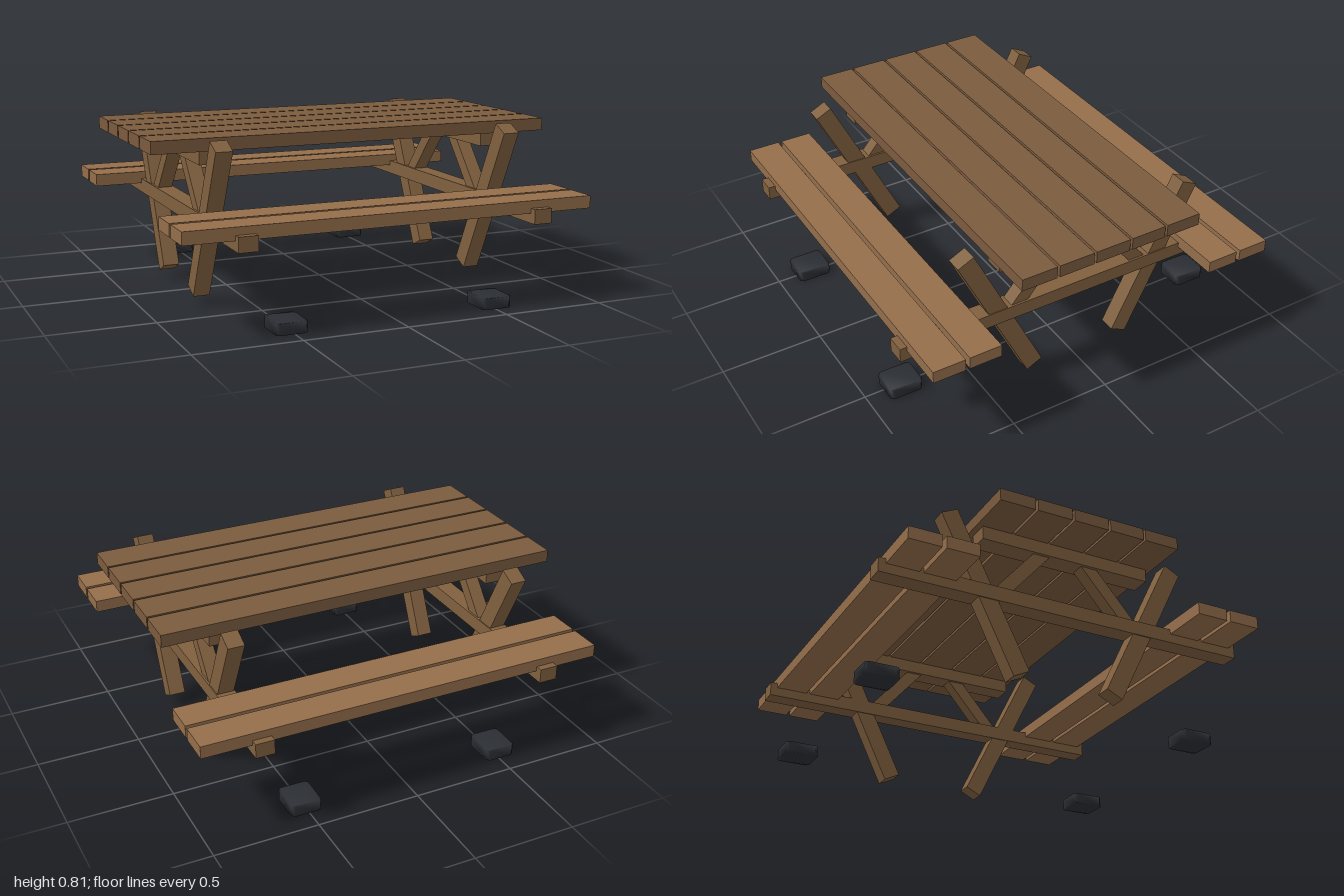
import * as THREE from 'three';
import { mergeVertices } from 'three/addons/utils/BufferGeometryUtils.js';

const mat = (color) => new THREE.MeshStandardMaterial({ color });

export function createModel() {
  const table = new THREE.Group();
  table.name = 'picnicTable';
  const topWood = mat(0x7b5b3e);
  const seatWood = mat(0x946e4b);
  const frameWood = mat(0x80603f);
  const rubber = mat(0x2b2e33);

  function box(name, material, w, h, d, x, y, z) {
    const mesh = new THREE.Mesh(new THREE.BoxGeometry(w, h, d), material);
    mesh.name = name;
    mesh.position.set(x, y, z);
    table.add(mesh);
    return mesh;
  }

  // Sloping timber between two [z, y] points
  function timber(name, x, width, depth, [z0, y0], [z1, y1]) {
    const length = Math.hypot(z1 - z0, y1 - y0);
    const mesh = box(name, frameWood, width, length, depth, x, (y0 + y1) / 2, (z0 + z1) / 2);
    mesh.rotation.x = Math.atan2(z1 - z0, y1 - y0);
  }

  // Five table top planks
  for (let i = -2; i <= 2; i++) {
    box('topPlank', topWood, 2, 0.06, 0.177, 0, 0.78, i * 0.189);
  }

  // Two planks for each bench
  for (const side of [-1, 1]) {
    for (const z of [0.643, 0.821]) {
      box('seatPlank', seatWood, 2, 0.06, 0.158, 0, 0.466, side * z);
    }
  }

  // End frames: cleat, bench beam, leaning legs and braces
  for (const x of [-0.72, 0.72]) {
    box('topCleat', frameWood, 0.1, 0.095, 0.875, x, 0.7325, 0);
    box('seatBeam', frameWood, 0.09, 0.07, 1.87, x, 0.425, 0);
    for (const side of [-1, 1]) {
      timber('leg', x, 0.08, 0.088, [side * 0.24, 0.0575], [side * 0.6, 0.791]);
      timber('brace', x, 0.07, 0.065, [side * 0.345, 0.434], [side * 0.1, 0.717]);
    }
  }

  // Ground pads: blocks with clipped corners and soft shading
  const w = 0.0735, d = 0.0825, c = 0.014;
  const outline = new THREE.Shape([
    [w - c, -d], [w, c - d], [w, d - c], [w - c, d],
    [c - w, d], [-w, d - c], [-w, c - d], [c - w, -d],
  ].map(([x, z]) => new THREE.Vector2(x, z)));
  let padGeometry = new THREE.ExtrudeGeometry(outline, { depth: 0.053, bevelEnabled: false });
  padGeometry.rotateX(-Math.PI / 2);
  padGeometry.deleteAttribute('normal');
  padGeometry.deleteAttribute('uv');
  padGeometry = mergeVertices(padGeometry);
  padGeometry.computeVertexNormals();
  for (const x of [-0.51, 0.51]) {
    for (const z of [-0.82, 0.82]) {
      const pad = new THREE.Mesh(padGeometry, rubber);
      pad.name = 'groundPad';
      pad.position.set(x, 0, z);
      table.add(pad);
    }
  }

  return table;
}
